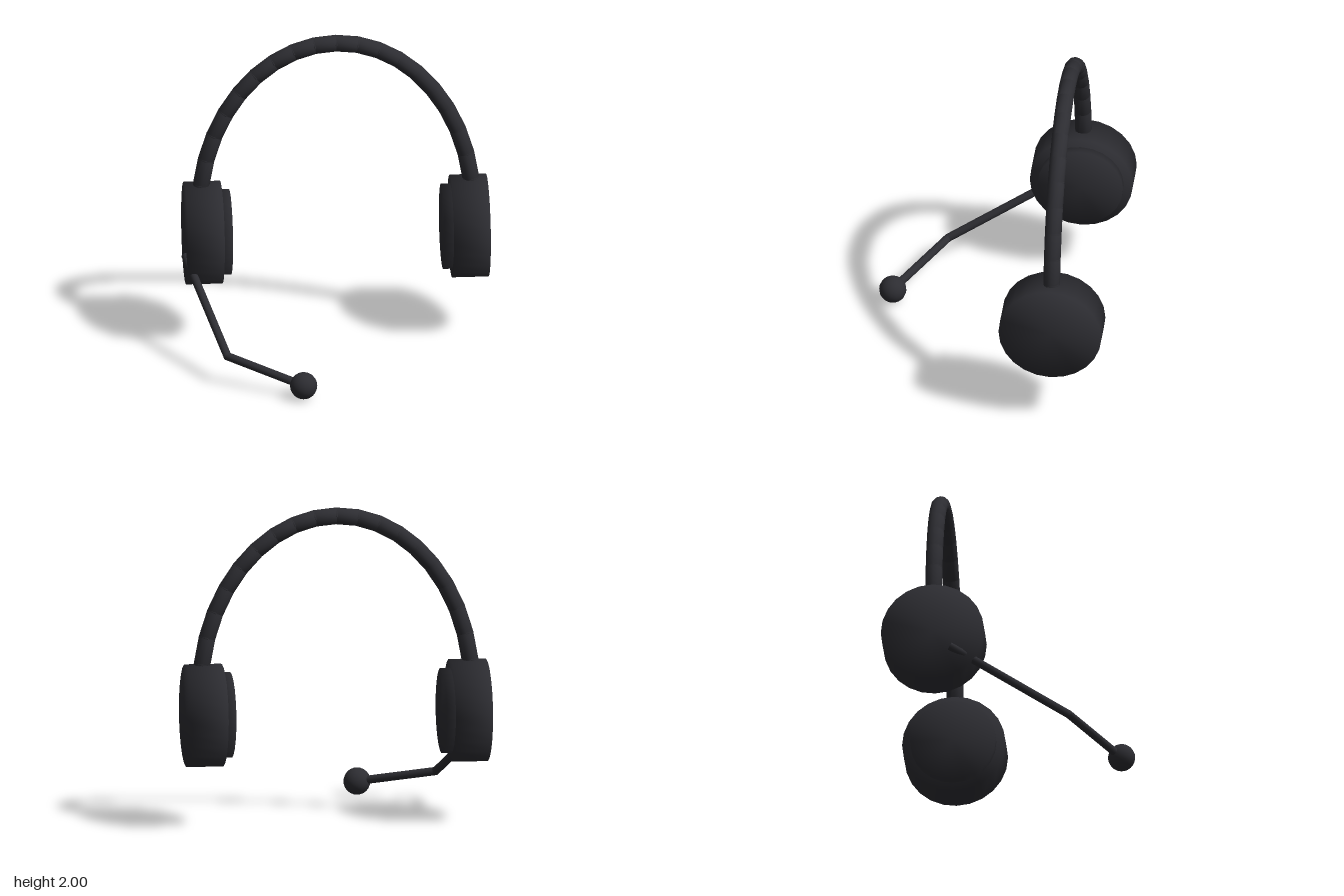
import * as THREE from 'three';
import { mergeVertices } from 'three/addons/utils/BufferGeometryUtils.js';

const CX = 0.013; // middle of the band and cups
const CZ = -0.45;

// Shared rim vertices give the soft shading over the cylinder edges
function softCylinder(radius, length, sides) {
  const g = new THREE.CylinderGeometry(radius, radius, length, sides);
  g.deleteAttribute('normal');
  g.deleteAttribute('uv');
  const merged = mergeVertices(g, 1e-4);
  merged.computeVertexNormals();
  return merged;
}

export function createModel() {
  const model = new THREE.Group();
  model.name = 'headset';
  const charcoal = new THREE.MeshStandardMaterial({ color: 0x2d2d32 });
  charcoal.name = 'charcoal plastic';

  const add = (name, geometry, parent = model) => {
    const mesh = new THREE.Mesh(geometry, charcoal);
    mesh.name = name;
    parent.add(mesh);
    return mesh;
  };

  // Rod running from a to b, lengthened a little at both ends
  const rod = (name, a, b, radius, sides, extra, parent) => {
    const dir = b.clone().sub(a);
    const mesh = add(name, softCylinder(radius, dir.length() + extra, sides), parent);
    mesh.position.copy(a).add(b).multiplyScalar(0.5);
    mesh.quaternion.setFromUnitVectors(new THREE.Vector3(0, 1, 0), dir.normalize());
    return mesh;
  };

  // Headband: overlapping short segments along half an ellipse
  const band = new THREE.Group();
  band.name = 'headband';
  model.add(band);
  const segments = 20;
  const bandPoint = (i) => {
    const t = (i / segments) * Math.PI;
    return new THREE.Vector3(CX + 0.86 * Math.cos(t), 0.85 + 1.098 * Math.sin(t), CZ);
  };
  for (let i = 0; i < segments; i++) {
    rod('bandSegment', bandPoint(i), bandPoint(i + 1), 0.053, 12, 0.012, band);
  }

  // Ear cups with inner cushions
  for (const [side, s] of [['left', 1], ['right', -1]]) {
    const cup = add(side + 'EarCup', softCylinder(0.325, 0.228, 24));
    cup.position.set(CX + s * 0.838, 0.697, CZ);
    cup.rotation.z = Math.PI / 2;
    const pad = add(side + 'EarCushion', softCylinder(0.27, 0.12, 24));
    pad.position.set(CX + s * 0.728, 0.697, CZ);
    pad.rotation.z = Math.PI / 2;
  }

  // Microphone boom, bent once, with a round tip
  const start = new THREE.Vector3(-0.943, 0.585, -0.335);
  const bend = new THREE.Vector3(-0.733, 0.185, 0.395);
  const tip = new THREE.Vector3(-0.275, 0.087, 0.69);
  rod('micBoomUpper', start, bend, 0.026, 12, 0.012);
  rod('micBoomLower', bend, tip, 0.026, 12, 0.012);
  add('micTip', new THREE.SphereGeometry(0.086, 16, 12)).position.copy(tip);

  return model;
}
